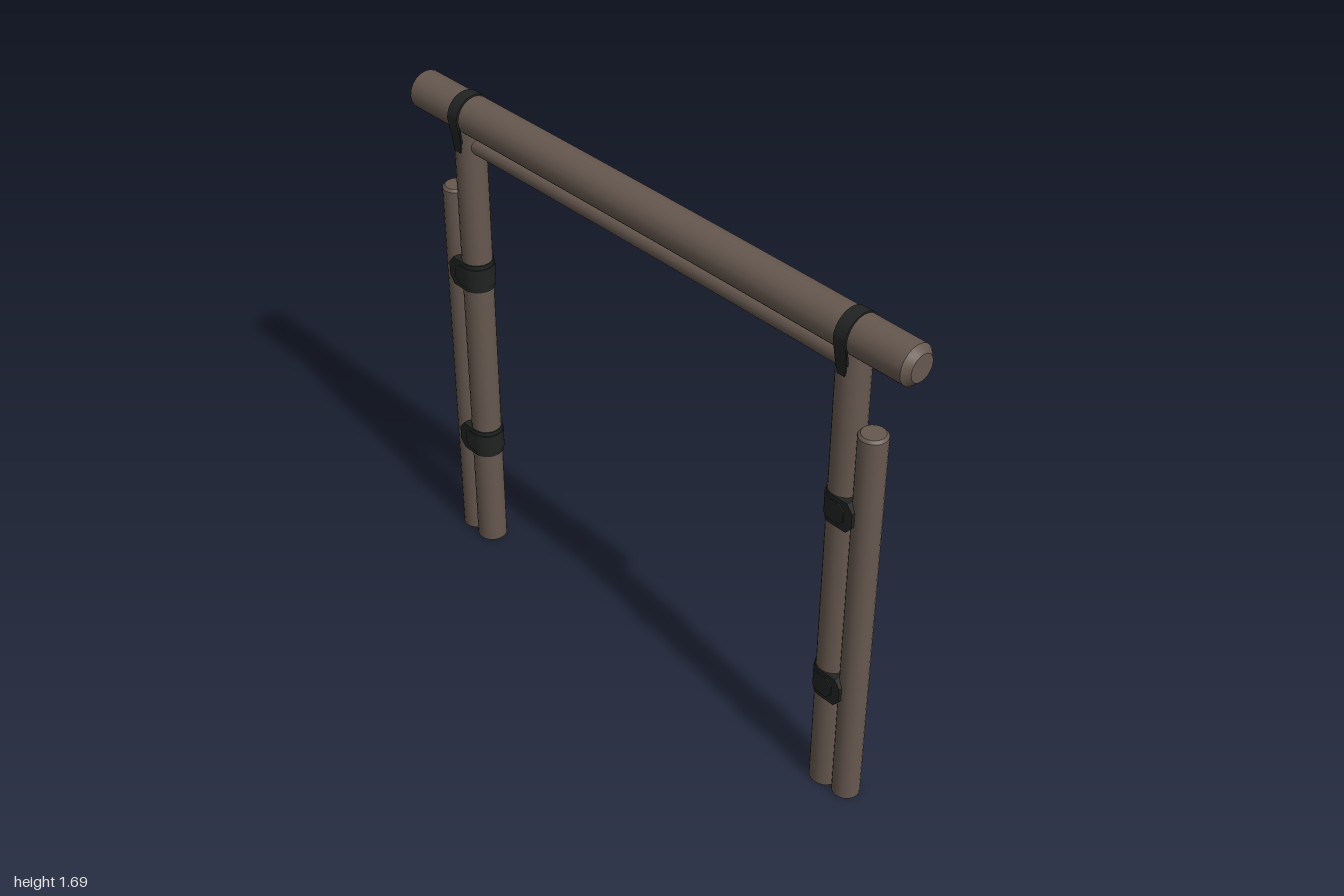
import * as THREE from 'three';
import { toCreasedNormals } from 'three/addons/utils/BufferGeometryUtils.js';

export function createModel() {
  const group = new THREE.Group();
  const wood = new THREE.MeshStandardMaterial({ color: 0x66584f });
  wood.name = 'weathered wood';
  const leather = new THREE.MeshStandardMaterial({ color: 0x202322 });
  leather.name = 'dark strap';

  function add(name, geometry, material, x, y, z) {
    const mesh = new THREE.Mesh(geometry, material);
    mesh.name = name;
    mesh.position.set(x, y, z);
    group.add(mesh);
    return mesh;
  }

  // Upright log from y = 0, with optional bevels and a slight bow along its length
  function log(radius, length, bottomBevel, topBevel, bow = 0, sides = 20) {
    const pts = [new THREE.Vector2(0, 0), new THREE.Vector2(radius - bottomBevel, 0)];
    for (let i = 0; i <= 6; i++) {
      const y = bottomBevel + (length - bottomBevel - topBevel) * i / 6;
      pts.push(new THREE.Vector2(radius, y));
    }
    if (topBevel) pts.push(new THREE.Vector2(radius - topBevel, length));
    pts.push(new THREE.Vector2(0, length));
    const geo = new THREE.LatheGeometry(pts, sides);
    const p = geo.attributes.position;
    for (let i = 0; i < p.count; i++) {
      p.setZ(i, p.getZ(i) - bow * Math.sin(Math.PI * p.getY(i) / length));
    }
    return toCreasedNormals(geo, 0.6);
  }

  // Top beam and the thinner rail below it
  add('topBeam', log(0.062, 2, 0.02, 0.02, 0.005), wood, 1, 1.62, 0.002).rotation.z = Math.PI / 2;
  add('lowerRail', log(0.03, 1.52, 0, 0, 0.002, 16), wood, 0.76, 1.527, 0.003).rotation.z = Math.PI / 2;

  // Wrap around the post: round on the inner side, running into the outer log
  function postWrap(halfDepth, reach, height) {
    const s = new THREE.Shape();
    s.moveTo(reach, -halfDepth);
    s.lineTo(reach, halfDepth);
    s.lineTo(0, halfDepth);
    s.absarc(0, 0, halfDepth, Math.PI / 2, Math.PI * 1.5, false);
    const geo = new THREE.ExtrudeGeometry(s, { depth: height, steps: 4, bevelEnabled: false, curveSegments: 12 });
    geo.translate(0, 0, -height / 2).rotateX(-Math.PI / 2);
    // Chamfer the upper and lower outer corners
    const p = geo.attributes.position;
    for (let i = 0; i < p.count; i++) {
      if (p.getX(i) > reach - 0.001 && Math.abs(p.getY(i)) > height * 0.45) p.setX(i, reach - 0.02);
    }
    return toCreasedNormals(geo, 0.6);
  }

  // Strap draped over the beam with its tails tapering down against the post
  function beamStrap() {
    const s = new THREE.Shape();
    s.moveTo(0.052, -0.112);
    s.lineTo(0.054, -0.07);
    s.lineTo(0.067, 0);
    s.absarc(0, 0, 0.067, 0, Math.PI, false);
    s.lineTo(-0.054, -0.07);
    s.lineTo(-0.052, -0.112);
    s.lineTo(-0.044, -0.112);
    s.lineTo(-0.046, -0.07);
    s.lineTo(-0.059, 0);
    s.absarc(0, 0, 0.059, Math.PI, 0, true);
    s.lineTo(0.046, -0.07);
    s.lineTo(0.044, -0.112);
    s.closePath();
    const geo = new THREE.ExtrudeGeometry(s, { depth: 0.042, bevelEnabled: false, curveSegments: 14 });
    geo.translate(0, 0, -0.021).rotateY(Math.PI / 2);
    const p = geo.attributes.position;
    for (let i = 0; i < p.count; i++) {
      if (p.getY(i) < -0.1) p.setX(i, p.getX(i) * 0.6);
    }
    return toCreasedNormals(geo, 0.6);
  }

  // Two legs, each a tall post lashed to a shorter outer log
  for (const [side, name] of [[1, 'left'], [-1, 'right']]) {
    const x = side * 0.778;
    add(name + 'Post', log(0.049, 1.59, 0, 0), wood, x, 0, 0.003);
    add(name + 'OuterLog', log(0.043, 1.34, 0, 0.008), wood, side * 0.862, 0, 0.003);
    for (const y of [0.41, 1.06]) {
      const turn = side > 0 ? 0 : Math.PI;
      add(name + 'PostWrap', postWrap(0.052, 0.075, 0.1), leather, x, y, 0.003).rotation.y = turn;
      // Raised middle of the wrap
      add(name + 'WrapBand', postWrap(0.055, 0.045, 0.07), leather, x, y, 0.003).rotation.y = turn;
    }
    add(name + 'BeamStrap', beamStrap(), leather, x, 1.62, 0.002);
  }
  return group;
}
